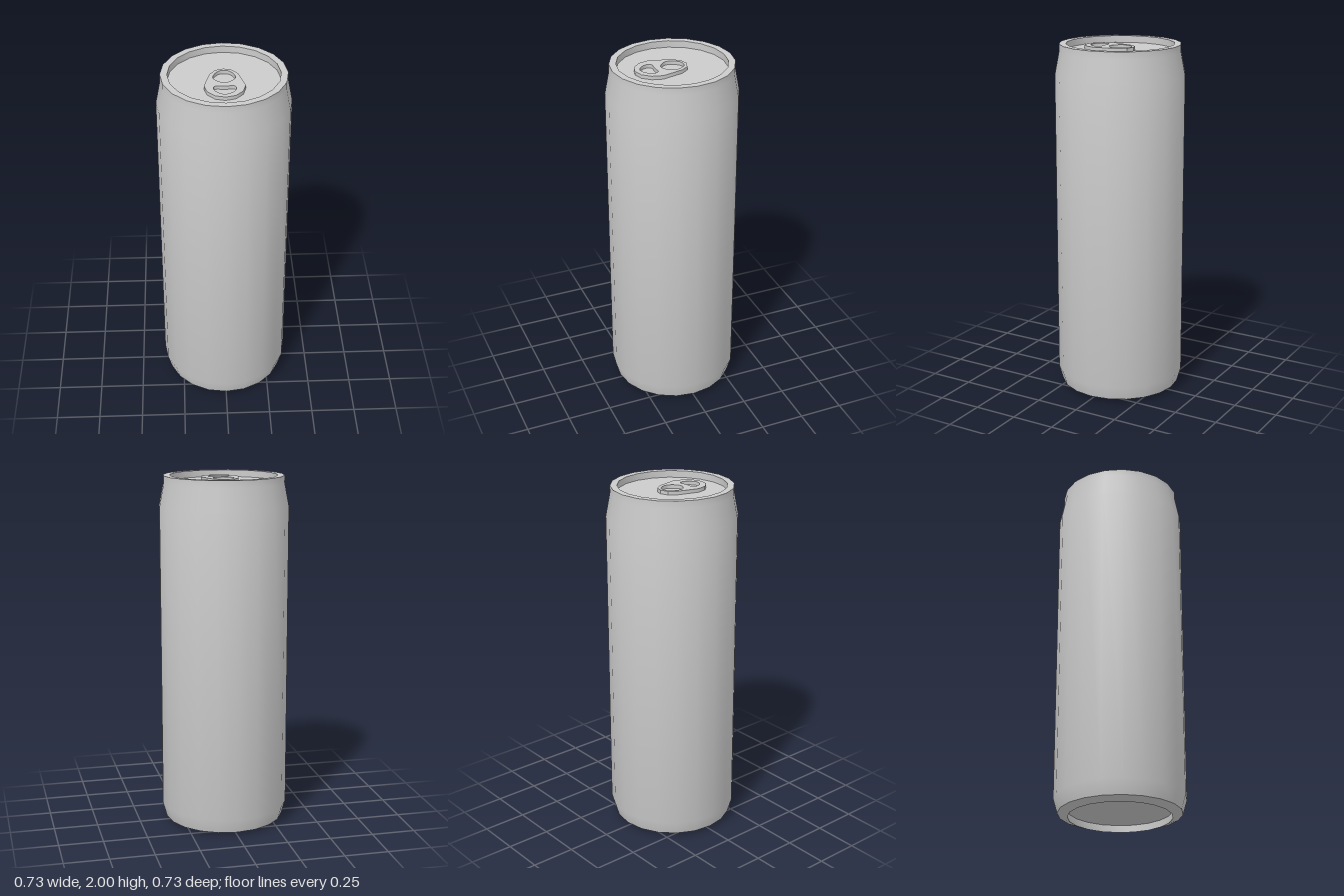
import * as THREE from 'three';
import { toCreasedNormals } from 'three/addons/utils/BufferGeometryUtils.js';

const SIDES = 20;
const LID_Y = 1.962;
const TAB_THICKNESS = 0.02;

export function createModel() {
  const can = new THREE.Group();
  can.name = 'drinkCan';
  const material = new THREE.MeshStandardMaterial({ color: 0xcccccc });

  const addPart = (name, geometry) => {
    const mesh = new THREE.Mesh(toCreasedNormals(geometry, 0.6), material);
    mesh.name = name;
    can.add(mesh);
    return mesh;
  };
  // Profile points run from the underside, up the outside and down into the lid
  const lathe = (points) =>
    new THREE.LatheGeometry(points.map(([r, y]) => new THREE.Vector2(r, y)), SIDES);

  // Recessed underside with its standing ring
  addPart('base', lathe([[0, 0.04], [0.285, 0.04], [0.285, 0], [0.34, 0.02]]));

  // Side wall with tapered foot and shoulder
  addPart('body', lathe([[0.34, 0.02], [0.363, 0.1], [0.363, 1.83], [0.338, 1.96], [0.338, 2]]));

  // Flat rim stepping down to the sunken lid
  addPart('lid', lathe([[0.338, 2], [0.3, 2], [0.3, LID_Y], [0, LID_Y]]));

  // Pull tab outline, mirrored about its centre line
  const half = [[0, -0.083], [0.045, -0.068], [0.077, -0.025], [0.109, 0.095],
    [0.094, 0.154], [0.054, 0.198], [0, 0.213]];
  const mirrored = half.slice(1, -1).reverse().map(([x, z]) => [-x, z]);
  const tab = new THREE.Shape([...half, ...mirrored].map(([x, z]) => new THREE.Vector2(x, z)));

  // Rivet opening: rounded triangle
  const rivetHole = new THREE.Path();
  rivetHole.moveTo(-0.015, -0.062);
  rivetHole.lineTo(0.015, -0.062);
  rivetHole.bezierCurveTo(0.035, -0.06, 0.06, -0.018, 0.06, 0.008);
  rivetHole.bezierCurveTo(0.06, 0.028, 0.027, 0.064, 0, 0.064);
  rivetHole.bezierCurveTo(-0.027, 0.064, -0.06, 0.028, -0.06, 0.008);
  rivetHole.bezierCurveTo(-0.06, -0.018, -0.035, -0.06, -0.015, -0.062);

  // Finger opening: half moon with a slightly dipped top edge
  const fingerHole = new THREE.Path();
  fingerHole.moveTo(0, 0.101);
  fingerHole.bezierCurveTo(0.02, 0.101, 0.025, 0.098, 0.037, 0.097);
  fingerHole.bezierCurveTo(0.052, 0.097, 0.06, 0.106, 0.06, 0.122);
  fingerHole.bezierCurveTo(0.06, 0.148, 0.027, 0.182, 0, 0.182);
  fingerHole.bezierCurveTo(-0.027, 0.182, -0.06, 0.148, -0.06, 0.122);
  fingerHole.bezierCurveTo(-0.06, 0.106, -0.052, 0.097, -0.037, 0.097);
  fingerHole.bezierCurveTo(-0.025, 0.098, -0.02, 0.101, 0, 0.101);
  tab.holes.push(rivetHole, fingerHole);

  // Lay the tab flat on the lid
  const tabGeometry = new THREE.ExtrudeGeometry(tab, {
    depth: TAB_THICKNESS, bevelEnabled: false, curveSegments: 6,
  });
  tabGeometry.rotateX(Math.PI / 2);
  addPart('pullTab', tabGeometry).position.y = LID_Y + TAB_THICKNESS;

  return can;
}
